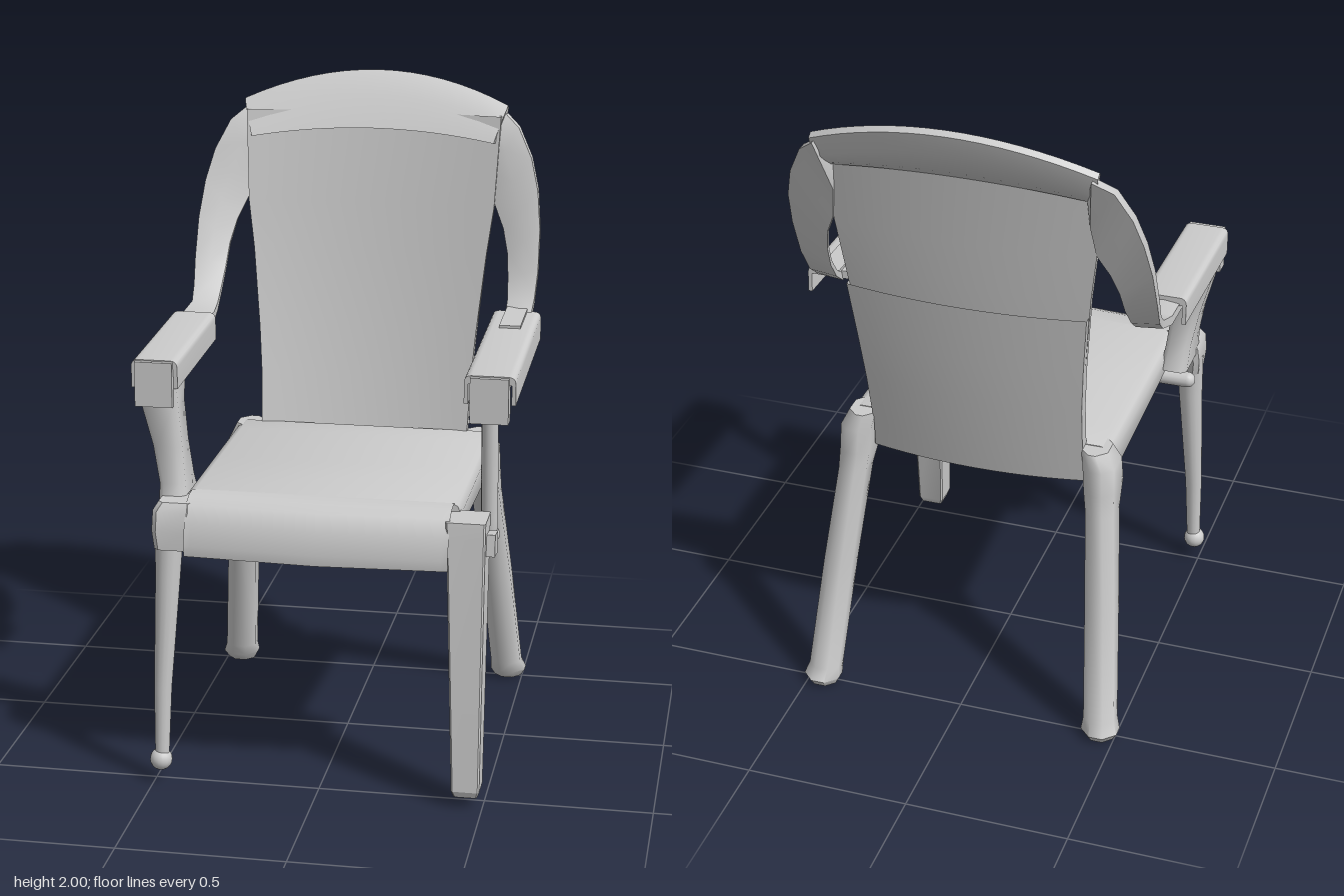
import * as THREE from 'three';
import { toCreasedNormals } from 'three/addons/utils/BufferGeometryUtils.js';

const material = new THREE.MeshStandardMaterial({ color: 0xcccccc, side: THREE.DoubleSide });

// Skin a list of equal-length closed rings of [x, y, z]
function loft(rings, caps = true, crease = 0.6) {
  const n = rings[0].length, pos = [], idx = [];
  rings.forEach(r => r.forEach(p => pos.push(...p)));
  for (let i = 0; i < rings.length - 1; i++)
    for (let j = 0; j < n; j++) {
      const a = i * n + j, b = i * n + (j + 1) % n;
      idx.push(a, b, a + n, b, b + n, a + n);
    }
  if (caps) {
    const last = (rings.length - 1) * n;
    for (let j = 1; j < n - 1; j++) idx.push(0, j + 1, j, last, last + j, last + j + 1);
  }
  const g = new THREE.BufferGeometry();
  g.setAttribute('position', new THREE.Float32BufferAttribute(pos, 3));
  g.setIndex(idx);
  return toCreasedNormals(g, crease);
}

// Horizontal rectangle with cut corners at height y
function ring(y, x0, x1, z0, z1, c = 0.015) {
  return [[x0 + c, z0], [x1 - c, z0], [x1, z0 + c], [x1, z1 - c],
    [x1 - c, z1], [x0 + c, z1], [x0, z1 - c], [x0, z0 + c]].map(([x, z]) => [x, y, z]);
}

const steps = (n, f) => Array.from({ length: n + 1 }, (_, i) => f(-1 + 2 * i / n));

export function createModel() {
  const chair = new THREE.Group();
  const add = (name, geometry, x = 0, y = 0, z = 0) => {
    const m = new THREE.Mesh(geometry, material);
    m.name = name;
    m.position.set(x, y, z);
    chair.add(m);
    return m;
  };
  const box = (name, w, h, d, x, y, z) => add(name, new THREE.BoxGeometry(w, h, d), x, y, z);

  // Seat body with rounded sides: [z, bottom y]
  add('seat', loft([[-0.3, 0.775], [-0.2, 0.768], [0.1, 0.783], [0.43, 0.803]].map(([z, b]) => {
    const half = [[0.38, 0.902], [0.4, 0.893], [0.411, 0.868], [0.409, b + 0.02], [0.395, b]];
    return [...half, ...half.map(([x, y]) => [-x, y]).reverse()].map(([x, y]) => [x, y, z]);
  }), true, 0.9));

  // Rolled front lip, bowed across x: profile [z, y]
  const lip = [[0.43, 0.902], [0.5, 0.899], [0.54, 0.882], [0.563, 0.835], [0.582, 0.768], [0.578, 0.735],
    [0.562, 0.737], [0.55, 0.79], [0.53, 0.845], [0.49, 0.868], [0.43, 0.868]];
  add('seatFront', loft([-0.39, -0.37, 0, 0.37, 0.39].map(x => lip.map(([z, y]) =>
    [x, y, z - (z > 0.45 ? 0.05 * Math.abs(x) : 0)])), false, 0.9));

  // Backrest panel, narrow at the seat and hollowed across x: rows [y, z, half width]
  const rows = [[0.86, -0.318, 0.33], [1.05, -0.357, 0.336], [1.2, -0.385, 0.347], [1.45, -0.428, 0.372],
    [1.6, -0.447, 0.392], [1.88, -0.49, 0.405]];
  const panelRing = ([y, z, w], front, back) => {
    const line = d => steps(12, t => [t * w, y, z + 0.035 * t * t - d]);
    return [...line(front), ...line(back).reverse()];
  };
  add('backrest', loft(rows.map(r => panelRing(r, 0, 0.018)), false));
  const rearRows = [[0.775, -0.3, 0.335], ...rows.slice(0, 3), [1.39, -0.418, 0.364]];
  add('backrestRearShell', loft(rearRows.map(r => panelRing(r, 0.012, 0.04)), false));

  // Folded crown over the top of the backrest
  add('crown', loft(steps(16, t => {
    const q = t * t, yb = 1.832 - 0.032 * q, yt = 2 - 0.092 * q;
    const zb = -0.455 + 0.027 * q, zt = -0.56 + 0.058 * q;
    return [[t * 0.385, yb, zb], [t * 0.405, (yb + yt) / 2 + 0.01, (zb + zt) / 2 + 0.004], [t * 0.418, yt - 0.01, zt + 0.006],
      [t * 0.42, yt, zt - 0.008], [t * 0.42, yt - 0.012, zt - 0.026], [t * 0.412, yt - 0.08, zt - 0.005],
      [t * 0.395, yb - 0.005, zb - 0.045]];
  }), true, 1.1));

  // Curved side frames from crown to arms: [outer x, y, z, inner x, y, z]
  const frame = [[0.405, 1.89, -0.508, 0.375, 1.8, -0.46], [0.46, 1.845, -0.468, 0.38, 1.71, -0.445],
    [0.505, 1.755, -0.435, 0.393, 1.61, -0.42], [0.53, 1.66, -0.4, 0.425, 1.54, -0.39],
    [0.543, 1.55, -0.355, 0.443, 1.47, -0.355], [0.545, 1.43, -0.305, 0.45, 1.4, -0.32],
    [0.54, 1.35, -0.26, 0.455, 1.34, -0.27], [0.535, 1.31, -0.21, 0.455, 1.305, -0.22]];
  for (const s of [-1, 1]) {
    const path = s < 0 ? [...frame, [0.545, 1.295, -0.15, 0.45, 1.295, -0.15], [0.545, 1.29, 0.0, 0.45, 1.29, 0.0]] : frame;
    add(s < 0 ? 'rightSideFrame' : 'leftSideFrame', loft(path.map(([a, b, c, d, e, f], i) => {
      const k = Math.max(0, Math.min(1, (i - 3) / 5)), dy = -0.03 * k, dz = -0.035 * (1 - k);
      const mid = [(a + d) / 2, (b + e) / 2 + 0.006 * k, (c + f) / 2 + 0.012 * (1 - k)];
      return [[a, b, c], mid, [d, e, f], [d, e + dy, f + dz * 0.4], [a, b + dy, c + dz]]
        .map(([x, y, z]) => [s * x, y, z]);
    }), true, 0.8));
  }

  // Armrests: inverted channels with rounded shoulders and a front flap
  function armrest(name, x, w, z0, z1) {
    const h = w / 2, r = 0.022, shape = new THREE.Shape();
    shape.moveTo(-h, -0.085).lineTo(-h, -r).quadraticCurveTo(-h, 0, -h + r, 0);
    shape.lineTo(h - r, 0).quadraticCurveTo(h, 0, h, -r).lineTo(h, -0.085);
    [[h - 0.012, -0.085], [h - 0.012, -0.025], [-h + 0.012, -0.025], [-h + 0.012, -0.085]]
      .forEach(p => shape.lineTo(...p));
    const g = new THREE.ExtrudeGeometry(shape, { depth: z1 - z0, bevelEnabled: false, curveSegments: 5 });
    const m = add(name, toCreasedNormals(g, 0.6), x, 1.293 + (z1 - z0) * 0.036, z0);
    m.rotation.x = 0.036;
    box(name + 'Flap', 0.112, 0.135, 0.05, x, 1.222, z1 - 0.01);
  }
  armrest('leftArmrest', 0.49, 0.15, -0.23, 0.445);
  armrest('rightArmrest', -0.497, 0.138, -0.07, 0.44);
  box('armSplice', 0.065, 0.015, 0.21, 0.49, 1.315, -0.145).rotation.x = 0.036;

  // Moulded arm post on the right
  add('armPost', loft([ring(0.84, -0.485, -0.4, 0.285, 0.47), ring(0.92, -0.488, -0.41, 0.31, 0.45),
    ring(1.03, -0.508, -0.42, 0.33, 0.44), ring(1.15, -0.54, -0.43, 0.33, 0.44),
    ring(1.21, -0.55, -0.435, 0.3, 0.44), ring(1.27, -0.55, -0.435, 0.25, 0.44)], true, 0.9));

  // Bent pipe: arm support on the left, running across under the seat
  const pipe = new THREE.CurvePath();
  const v = (x, y, z) => new THREE.Vector3(x, y, z);
  pipe.add(new THREE.LineCurve3(v(0.488, 1.25, 0.415), v(0.488, 0.87, 0.388)));
  pipe.add(new THREE.CubicBezierCurve3(v(0.488, 0.87, 0.388), v(0.488, 0.8, 0.383), v(0.5, 0.765, 0.378), v(0.4, 0.765, 0.378)));
  pipe.add(new THREE.LineCurve3(v(0.4, 0.765, 0.378), v(-0.47, 0.765, 0.378)));
  add('supportPipe', new THREE.TubeGeometry(pipe, 80, 0.025, 12));
  add('pipeBolt', new THREE.SphereGeometry(0.027, 14, 10), 0.492, 0.797, 0.38);
  add('pipeEnd', new THREE.SphereGeometry(0.025, 12, 8), -0.47, 0.765, 0.378);
  for (const x of [-0.27, -0.02, 0.22]) box('pipeClip', 0.04, 0.05, 0.08, x, 0.752, 0.365);

  // Splayed rear legs with flared feet
  for (const s of [-1, 1]) {
    const rings = [ring(0, 0.41, 0.495, -0.545, -0.475, 0.025), ring(0.025, 0.397, 0.51, -0.562, -0.455, 0.035),
      ring(0.06, 0.4, 0.497, -0.54, -0.443, 0.028), ring(0.4, 0.375, 0.468, -0.46, -0.352, 0.028),
      ring(0.7, 0.35, 0.438, -0.385, -0.262, 0.028), ring(0.77, 0.34, 0.435, -0.375, -0.215, 0.03),
      ring(0.85, 0.335, 0.432, -0.37, -0.225, 0.03), ring(0.9, 0.325, 0.408, -0.355, -0.24, 0.03)];
    add(s < 0 ? 'rightRearLeg' : 'leftRearLeg', loft(rings.map(r => r.map(([x, y, z]) => [s * x, y, z])), true, 0.95));
  }

  // Square timber front leg with its bolt plate
  add('leftFrontLeg', loft([ring(0.035, 0.415, 0.485, 0.493, 0.565, 0.005), ring(0.055, 0.408, 0.492, 0.485, 0.573, 0.005),
    ring(0.83, 0.382, 0.495, 0.418, 0.541, 0.005), ring(0.877, 0.378, 0.495, 0.414, 0.536, 0.005)], true, 0.3));
  box('boltPlate', 0.04, 0.065, 0.065, 0.5, 0.8, 0.475).rotation.x = -0.12;

  // Round front leg ending in a ball, hung from a corner block
  const circle = (x, y, z, r) => Array.from({ length: 14 }, (_, i) => {
    const a = i / 14 * Math.PI * 2;
    return [x + r * Math.cos(a), y, z + r * Math.sin(a)];
  });
  add('rightFrontLeg', loft([circle(-0.477, 0.06, 0.52, 0.021), circle(-0.472, 0.3, 0.51, 0.027),
    circle(-0.455, 0.65, 0.49, 0.038), circle(-0.45, 0.8, 0.48, 0.044)]));
  add('ballFoot', new THREE.SphereGeometry(0.034, 16, 12), -0.48, 0.07, 0.52);
  add('cornerBlock', loft([ring(0.745, -0.485, -0.37, 0.44, 0.545), ring(0.8, -0.492, -0.37, 0.42, 0.545),
    ring(0.86, -0.49, -0.37, 0.4, 0.535), ring(0.885, -0.475, -0.37, 0.4, 0.52)]));

  return chair;
}
